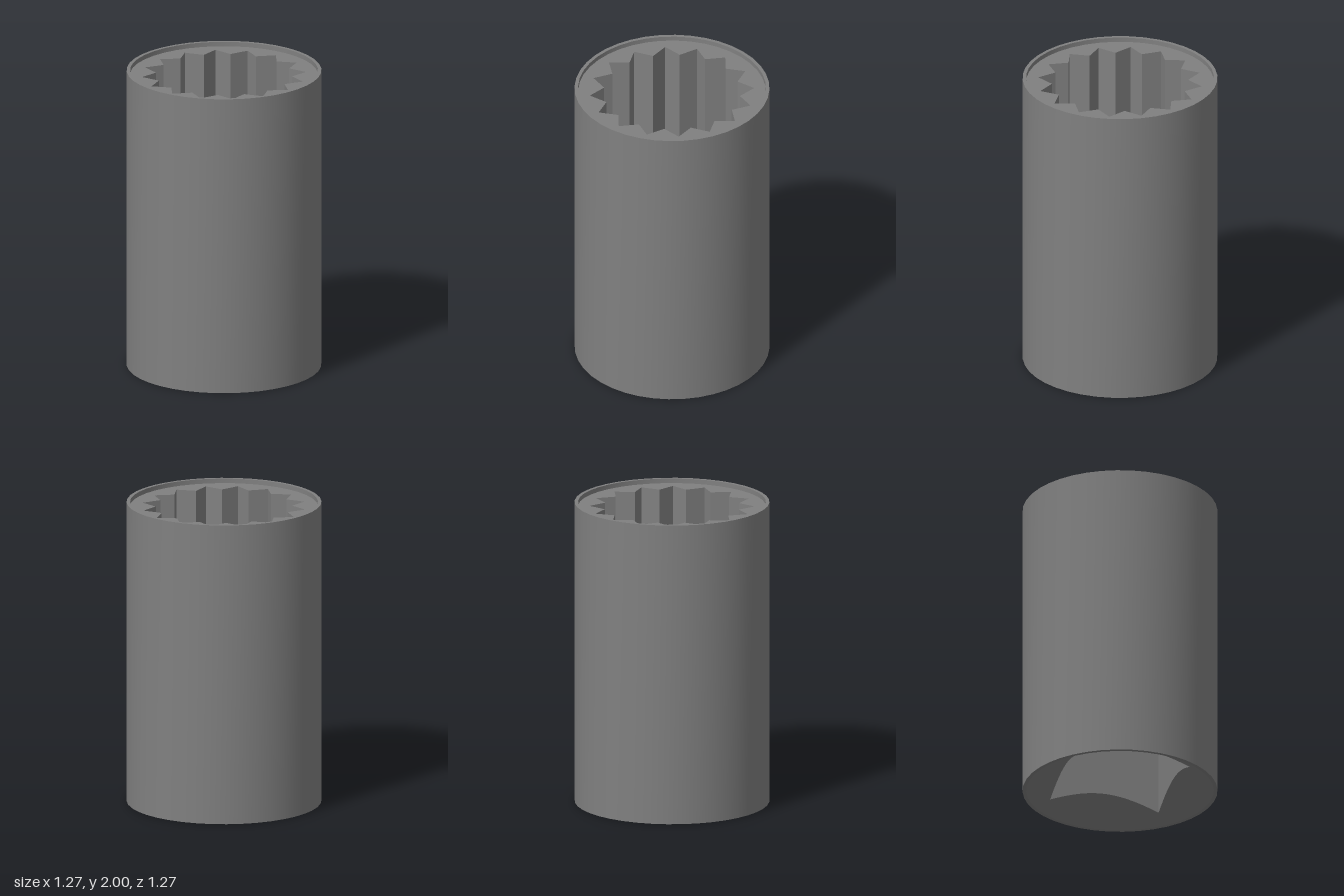
import * as THREE from 'three';
import { toCreasedNormals } from 'three/addons/utils/BufferGeometryUtils.js';

const TAU = Math.PI * 2;
const OUTER = 0.633, LIP = 0.61, BORE = 0.18;
const SHELF_Y = 1.97, STAR_FLOOR = 1.1, DRIVE_TOP = 0.9;

// Polar radius of a regular polygon with its first corner at angle `phase`
const polygon = (sides, radius, phase = 0) => (a) => {
  const step = TAU / sides;
  const local = ((((a - phase) % step) + step) % step) - step / 2;
  return (radius * Math.cos(step / 2)) / Math.cos(local);
};

// Polar radius of the sixteen-point star: inner corners at 0, tips half way between
const star = (a) => {
  const half = TAU / 32, inner = 0.443, tip = 0.535;
  const t = ((a % (2 * half)) + 2 * half) % (2 * half);
  const b = t > half ? 2 * half - t : t; // angle measured from the inner corner
  return (inner * tip * Math.sin(half)) / (inner * Math.sin(b) + tip * Math.sin(half - b));
};

// Ring of points following a polar radius; height may depend on the radius
function loop(radiusAt, y, count) {
  return Array.from({ length: count }, (_, i) => {
    const a = (i / count) * TAU, r = radiusAt(a);
    return [Math.cos(a) * r, typeof y === 'function' ? y(r) : y, Math.sin(a) * r];
  });
}

// Surface between two rings, facing outward when the second ring is above the first
function band(from, to) {
  const n = from.length, index = [];
  for (let i = 0; i < n; i++) {
    const j = (i + 1) % n;
    index.push(i, n + i, j, j, n + i, n + j);
  }
  const g = new THREE.BufferGeometry();
  g.setAttribute('position', new THREE.Float32BufferAttribute([...from, ...to].flat(), 3));
  g.setIndex(index);
  return toCreasedNormals(g, THREE.MathUtils.degToRad(20));
}

export function createModel() {
  const group = new THREE.Group();
  const steel = new THREE.MeshStandardMaterial({ color: 0x808080 });
  steel.name = 'steel grey';

  const body = polygon(40, OUTER), lip = polygon(40, LIP);
  const bore = polygon(20, BORE), drive = polygon(4, 0.518, TAU / 8);
  const coneY = (r) => (LIP - r) * Math.tan(Math.PI / 6);

  const add = (name, count, r1, y1, r2, y2) => {
    const mesh = new THREE.Mesh(band(loop(r1, y1, count), loop(r2, y2, count)), steel);
    mesh.name = name;
    group.add(mesh);
  };

  // Outside and top end
  add('outerWall', 40, body, 0, body, 2);
  add('topRim', 40, body, 2, lip, 2);
  add('recessWall', 40, lip, 2, lip, SHELF_Y);
  add('recessShelf', 160, lip, SHELF_Y, star, SHELF_Y);

  // Star-shaped socket with its floor and the through bore
  add('starWall', 32, star, SHELF_Y, star, STAR_FLOOR);
  add('starFloor', 160, star, STAR_FLOOR, bore, STAR_FLOOR);
  add('throughBore', 20, bore, STAR_FLOOR, bore, DRIVE_TOP);

  // Square drive hole opening through a conical countersink
  add('driveCeiling', 160, bore, DRIVE_TOP, drive, DRIVE_TOP);
  add('driveWall', 160, drive, DRIVE_TOP, drive, coneY);
  add('countersink', 160, drive, coneY, lip, 0);
  add('bottomRim', 40, lip, 0, body, 0);

  return group;
}
